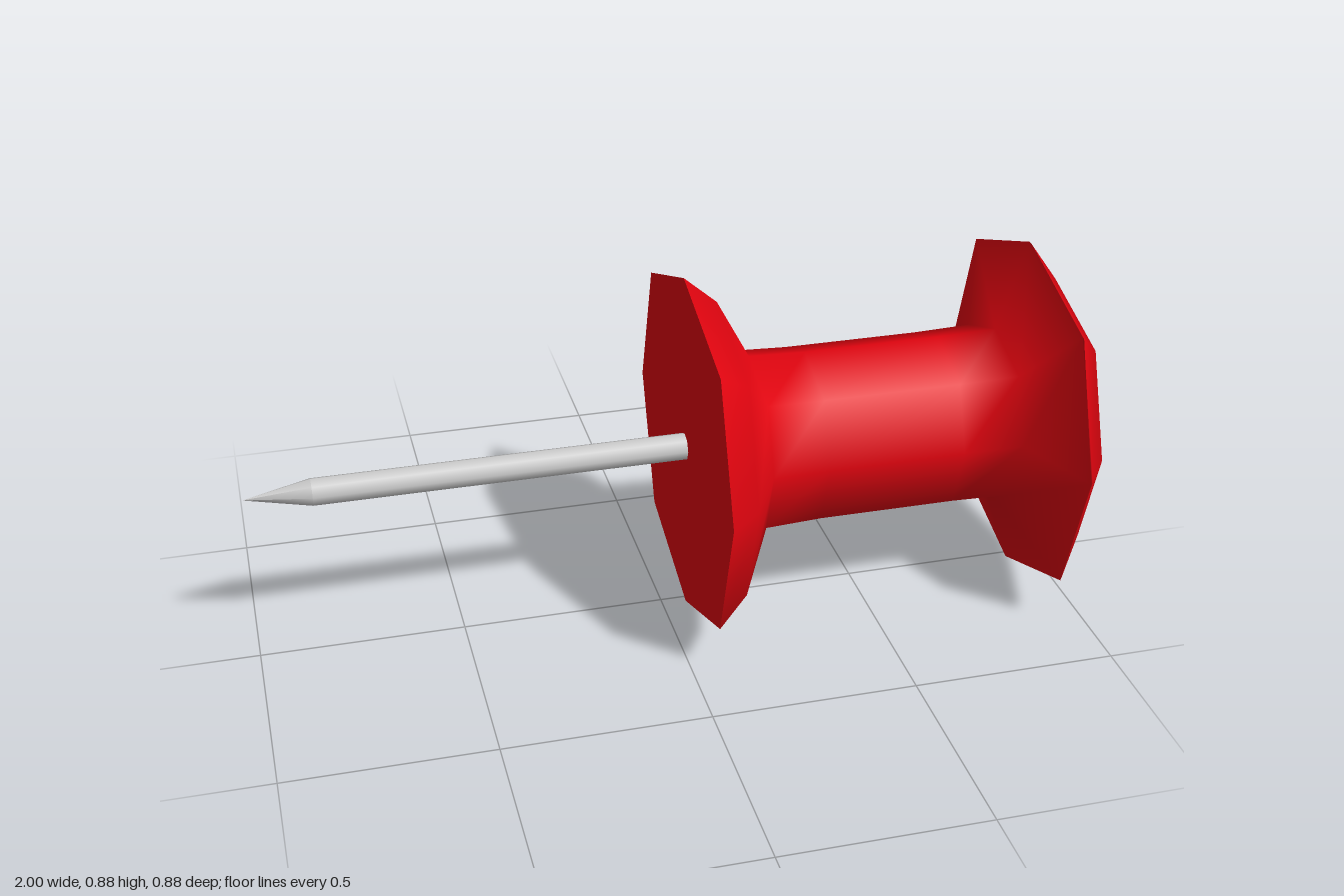
import * as THREE from 'three';

const AXIS_Y = 0.439;
const TWIST = THREE.MathUtils.degToRad(-2.6);

// Eight-sided lathe lying along x; the profile lists [x, radius] pairs.
// Every second corner is moved outwards by the factor bulge.
function turned(name, profile, material, bulge = 1) {
  const points = profile.map(([x, r]) => new THREE.Vector2(r, x));
  const geometry = new THREE.LatheGeometry(points, 8, TWIST);
  const position = geometry.attributes.position;
  for (let i = 0; i < position.count; i++) {
    const column = Math.floor(i / points.length);
    const k = column % 2 ? bulge : 1;
    position.setXYZ(i, position.getX(i) * k, position.getY(i), position.getZ(i) * k);
  }
  geometry.rotateZ(-Math.PI / 2);
  const mesh = new THREE.Mesh(geometry, material);
  mesh.name = name;
  mesh.position.y = AXIS_Y;
  return mesh;
}

export function createModel() {
  const model = new THREE.Group();
  model.name = 'pushPin';
  const red = new THREE.MeshStandardMaterial({ color: 0xe1040f });
  const grey = new THREE.MeshStandardMaterial({ color: 0xcccccc });

  // Grip: collar, waist, flared head and thin rim
  model.add(turned('grip', [
    [0.06, 0.439], [0.14, 0.37], [0.22, 0.22], [0.36, 0.214],
    [0.7, 0.214], [0.85, 0.218], [0.925, 0.439], [0.932, 0.43],
  ], red, 1.048));

  // Flat face of the collar, around the needle
  model.add(turned('collarFace', [[0.06, 0], [0.06, 0.439]], red, 1.048));

  // Softly domed end, kept apart so the rim stays crisp
  model.add(turned('endCap', [[0.932, 0.43], [1, 0.335], [1, 0]], red, 1.048));

  // Steel needle, with its point split off to keep a crisp shoulder
  model.add(turned('needlePoint', [[-1, 0], [-0.84, 0.034]], grey));
  model.add(turned('needleShaft', [[-0.84, 0.034], [0.07, 0.034]], grey));

  return model;
}
